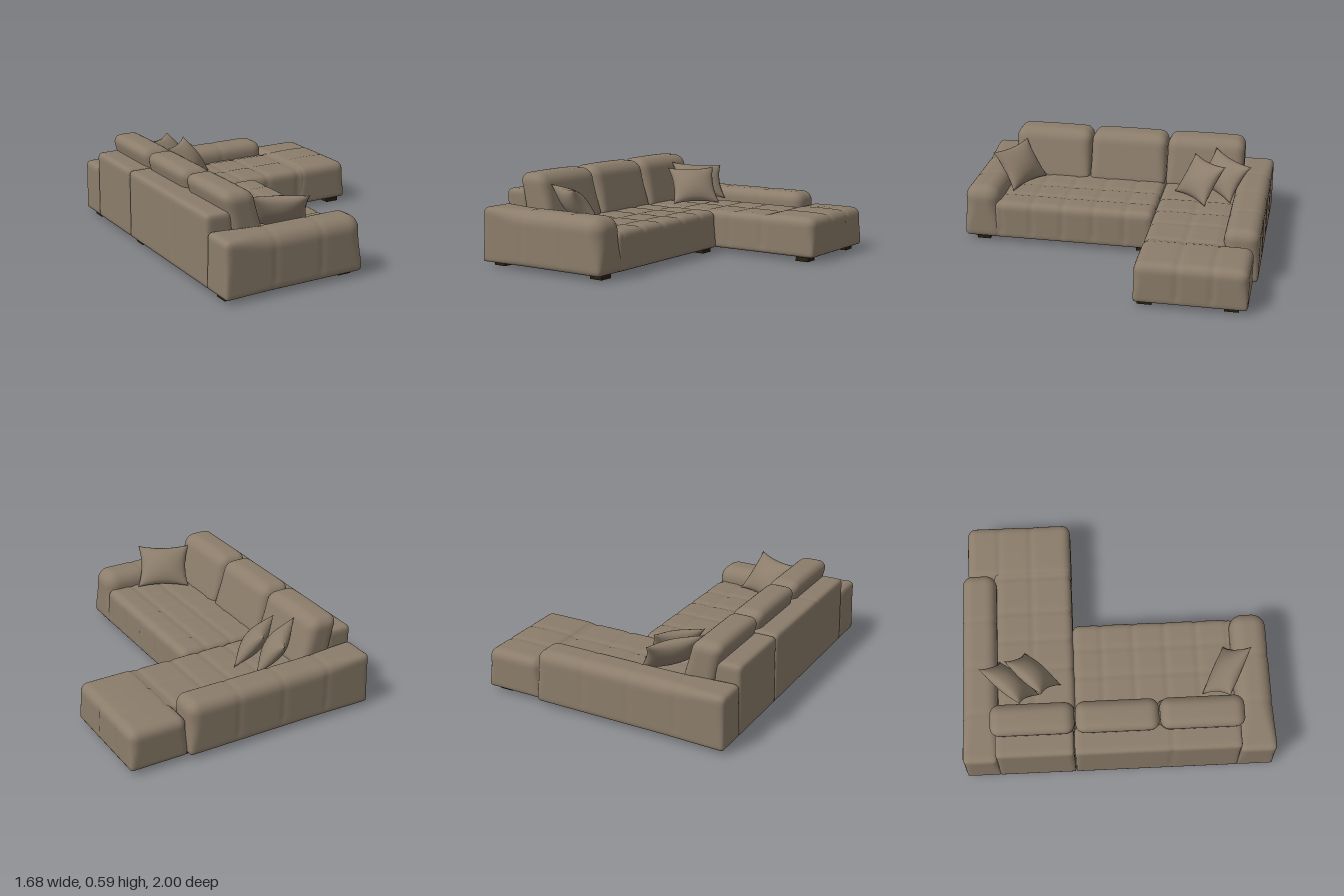
import * as THREE from 'three';
import { mergeVertices, mergeGeometries } from 'three/addons/utils/BufferGeometryUtils.js';

const fabric = new THREE.MeshStandardMaterial({ color: 0x8c7d6b });
fabric.name = 'taupe upholstery';
const wood = new THREE.MeshStandardMaterial({ color: 0x262010 });
wood.name = 'dark wood';

const { clamp, lerp, smoothstep } = THREE.MathUtils;

function smooth(geometry) {
  geometry.deleteAttribute('uv');
  geometry.deleteAttribute('normal');
  const merged = mergeVertices(geometry, 1e-5);
  merged.computeVertexNormals();
  return merged;
}

// Upholstered block between two corners, softly rounded, with stitched grooves.
// top / bottom: edge radii; back: radius factor at the -x side; lean: shear of x with y
function padded(name, min, max, o = {}) {
  const { top = 0.06, bottom = 0.02, back = 1, seamsX = [], seamsZ = [], depth = 0.007, lean = 0, bulge = 0 } = o;
  const lo = new THREE.Vector3(...min), hi = new THREE.Vector3(...max);
  const size = hi.clone().sub(lo), half = size.clone().multiplyScalar(0.5);
  const centre = lo.clone().add(half);
  const seg = (s) => Math.max(8, Math.round(s / 0.017));
  const geo = new THREE.BoxGeometry(size.x, size.y, size.z, seg(size.x), seg(size.y), seg(size.z));
  const pos = geo.attributes.position;
  const p = new THREE.Vector3(), inner = new THREE.Vector3(), dir = new THREE.Vector3();
  const groove = (v, seams) => seams.reduce((sum, s) => sum + Math.exp(-(((v - s) / 0.016) ** 2)), 0);

  for (let i = 0; i < pos.count; i++) {
    p.fromBufferAttribute(pos, i);
    const r = lerp(bottom, top, smoothstep(p.y, -half.y, half.y * 0.4))
      * lerp(back, 1, smoothstep(p.x, -half.x, -half.x * 0.3));
    inner.set(
      clamp(p.x, -half.x + r, half.x - r),
      clamp(p.y, -half.y + r, half.y - r),
      clamp(p.z, -half.z + r, half.z - r));
    dir.copy(p).sub(inner).normalize();
    const up = smoothstep(p.y, -half.y, -half.y * 0.5);
    const crown = bulge * (1 - (p.x / half.x) ** 2) * (1 - (p.z / half.z) ** 2) * Math.max(dir.y, 0);
    const dent = depth * up * (
      groove(p.x + centre.x, seamsX) * (1 - Math.abs(dir.x)) +
      groove(p.z + centre.z, seamsZ) * (1 - Math.abs(dir.z)));
    p.copy(inner).addScaledVector(dir, r - dent);
    p.y += crown;
    p.x += lean * p.y;
    pos.setXYZ(i, p.x, p.y, p.z);
  }
  const mesh = new THREE.Mesh(smooth(geo), fabric);
  mesh.name = name;
  mesh.position.copy(centre);
  return mesh;
}

// Loose square pillow with pinched corners; u and v are its full edge vectors
function pillow(name, centre, u, v, thickness = 0.065) {
  const sides = [1, -1].map((s) => {
    const g = new THREE.PlaneGeometry(2, 2, 24, 24);
    const pos = g.attributes.position;
    for (let i = 0; i < pos.count; i++) {
      const x = pos.getX(i), y = pos.getY(i);
      const a = 1 - x * x, b = 1 - y * y;
      pos.setXYZ(i, s * x * (1 - 0.13 * b), y * (1 - 0.13 * a), s * Math.pow(a * b, 0.6));
    }
    return g;
  });
  const geo = smooth(mergeGeometries(sides));
  const U = new THREE.Vector3(...u), V = new THREE.Vector3(...v);
  const N = U.clone().cross(V).normalize().multiplyScalar(thickness);
  geo.applyMatrix4(new THREE.Matrix4().makeBasis(U.multiplyScalar(0.5), V.multiplyScalar(0.5), N));
  geo.computeVertexNormals();
  const mesh = new THREE.Mesh(geo, fabric);
  mesh.name = name;
  mesh.position.set(...centre);
  return mesh;
}

export function createModel() {
  const sofa = new THREE.Group();
  sofa.name = 'cornerSofa';

  // Seats
  sofa.add(
    padded('mainSeat', [-0.74, 0.03, -0.28], [0.1, 0.285, 0.8],
      { top: 0.05, seamsX: [-0.27, -0.08], seamsZ: [-0.09, 0.12, 0.33, 0.54, 0.75] }),
    padded('chaiseSeat', [-0.74, 0.03, -0.8], [0.825, 0.283, -0.275],
      { top: 0.05, seamsX: [-0.2, 0.0, 0.2, 0.45], seamsZ: [-0.54, -0.76] }),
    padded('chaiseEnd', [0.455, 0.03, -0.97], [0.84, 0.288, -0.272],
      { top: 0.055, seamsX: [0.455], seamsZ: [-0.54, -0.755], bulge: 0.008 }));

  // Arms
  sofa.add(
    padded('frontArm', [-0.84, 0.03, 0.76], [0.105, 0.382, 1],
      { top: 0.09, bottom: 0.03, back: 0.4, seamsX: [-0.51, -0.19], depth: 0.004 }),
    padded('rearArm', [-0.84, 0.03, -1], [0.458, 0.372, -0.775],
      { top: 0.07, bottom: 0.025, back: 0.5, seamsX: [-0.52, -0.2, 0.12], depth: 0.004 }));

  // Back rail in two sections
  sofa.add(
    padded('mainBackRail', [-0.84, 0.03, -0.286], [-0.66, 0.478, 0.77],
      { top: 0.03, bottom: 0.01, seamsZ: [0.33], depth: 0.005 }),
    padded('chaiseBackRail', [-0.84, 0.03, -0.785], [-0.66, 0.478, -0.288],
      { top: 0.03, bottom: 0.01 }));

  // Leaning back cushions
  [[-0.81, -0.28], [-0.275, 0.253], [0.257, 0.79]].forEach(([z0, z1], i) => {
    sofa.add(padded('backCushion' + (i + 1), [-0.69, 0.25, z0], [-0.483, 0.586, z1],
      { top: 0.062, bottom: 0.04, lean: -0.25, bulge: 0.006 }));
  });

  // Loose pillows in the corners
  sofa.add(
    pillow('rearPillow', [-0.33, 0.42, -0.69], [0.25, -0.03, -0.26], [-0.12, 0.22, -0.12]),
    pillow('innerPillow', [-0.27, 0.402, -0.54], [0.23, 0, -0.23], [-0.135, 0.235, -0.12]),
    pillow('armPillow', [-0.31, 0.405, 0.71], [0.32, 0, 0.16], [-0.09, 0.235, 0.16]));

  // Block feet
  const footGeometry = new THREE.BoxGeometry(0.09, 0.035, 0.09);
  [[-0.765, 0.88], [0.02, 0.88], [0.02, -0.21], [-0.765, -0.21],
    [-0.765, -0.87], [0.395, -0.87], [0.75, -0.87], [0.75, -0.34]].forEach(([x, z], i) => {
    const foot = new THREE.Mesh(footGeometry, wood);
    foot.name = 'foot' + (i + 1);
    foot.position.set(x, 0.0175, z);
    sofa.add(foot);
  });

  return sofa;
}
